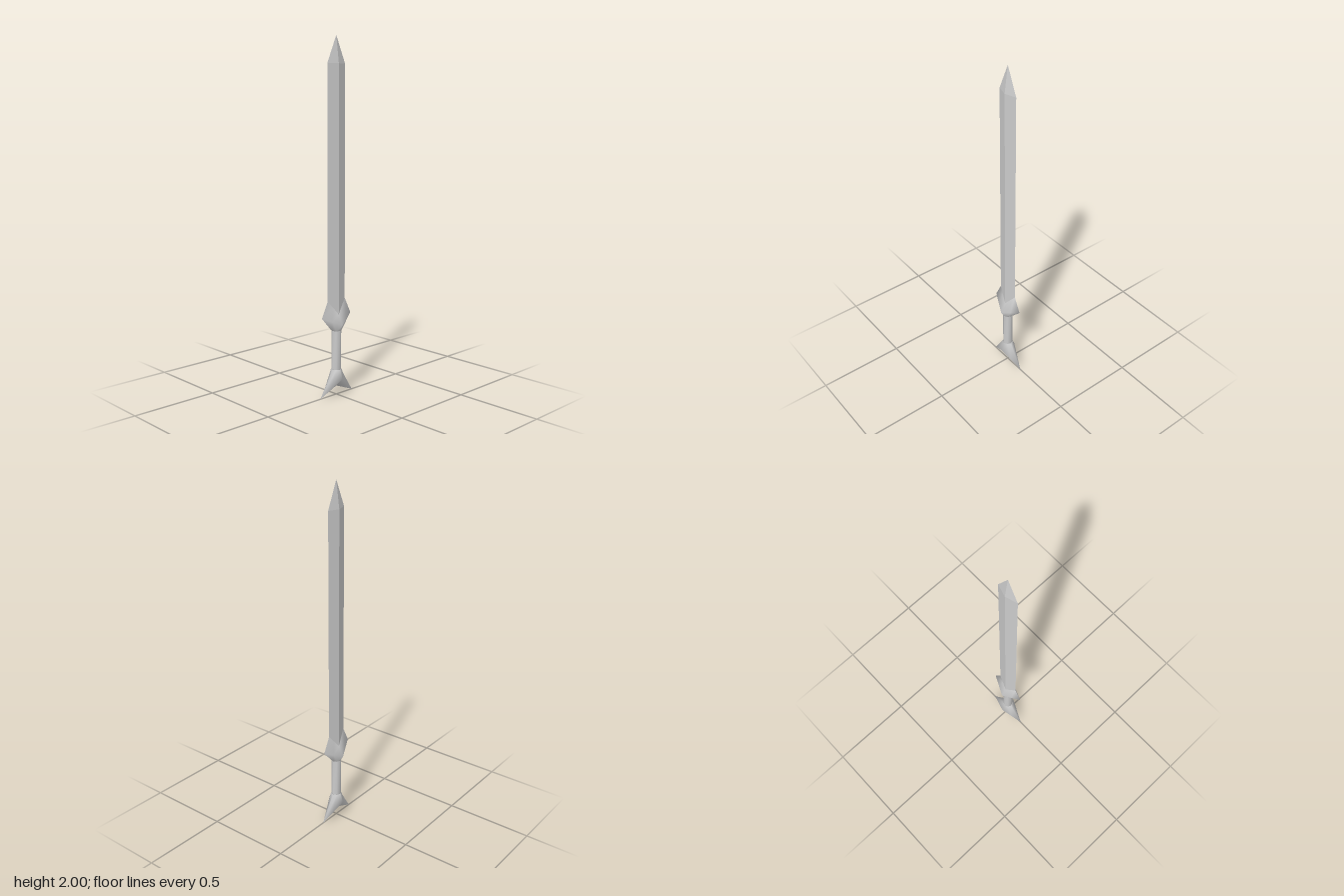
import * as THREE from 'three';
import { mergeVertices } from 'three/addons/utils/BufferGeometryUtils.js';

// Eight-point rings, bottom to top. x/z are the corner reaches, yx/yz the heights
// of those corners; bulge is how far the diagonals lie out (0.5 diamond, 0.707 round).
const DIAMOND = 0.5, ROUND = Math.SQRT1_2;
const ring = (x, yx, z, yz, bulge = DIAMOND) => ({ x, yx, z, yz, bulge });

function loft(rings) {
  const positions = [], index = [], n = 8;
  for (const r of rings) {
    for (let i = 0; i < n; i++) {
      const a = (i / n) * Math.PI * 2;
      const diagonal = i % 2 === 1;
      const cx = diagonal ? Math.sign(Math.cos(a)) * r.bulge : Math.round(Math.cos(a));
      const cz = diagonal ? Math.sign(Math.sin(a)) * r.bulge : Math.round(Math.sin(a));
      const y = diagonal ? (r.yx + r.yz) / 2 : (cx !== 0 ? r.yx : r.yz);
      positions.push(cx * r.x, y, cz * r.z);
    }
  }
  for (let j = 0; j < rings.length - 1; j++) {
    for (let i = 0; i < n; i++) {
      const a = j * n + i, b = j * n + (i + 1) % n;
      const c = a + n, d = b + n;
      index.push(a, c, b, b, c, d);
    }
  }
  let geometry = new THREE.BufferGeometry();
  geometry.setAttribute('position', new THREE.Float32BufferAttribute(positions, 3));
  geometry.setIndex(index);
  geometry = mergeVertices(geometry, 1e-5);
  geometry.computeVertexNormals();
  return geometry;
}

export function createModel() {
  const model = new THREE.Group();
  model.name = 'sword';
  const smooth = new THREE.MeshStandardMaterial({ color: 0xcccccc, side: THREE.DoubleSide });
  const faceted = new THREE.MeshStandardMaterial({ color: 0xcccccc, flatShading: true, side: THREE.DoubleSide });

  const add = (name, material, rings) => {
    const mesh = new THREE.Mesh(loft(rings), material);
    mesh.name = name;
    model.add(mesh);
  };

  // Diamond-section blade, seated in the V of the guard
  add('blade', faceted, [
    ring(0.02, 0.465, 0.066, 0.545),
    ring(0.02, 1.85, 0.066, 1.85),
    ring(0, 2, 0, 2),
  ]);

  // Guard swelling to two side points, then rising into horns along the blade edges
  add('guard', smooth, [
    ring(0.03, 0.375, 0.03, 0.375, ROUND),
    ring(0.05, 0.41, 0.11, 0.46),
    ring(0.02, 0.47, 0.066, 0.55),
  ]);

  // Plain round grip
  add('grip', smooth, [
    ring(0.028, 0.15, 0.028, 0.15, ROUND),
    ring(0.028, 0.375, 0.028, 0.375, ROUND),
  ]);

  // Fishtail pommel with a hollowed underside
  add('pommel', smooth, [
    ring(0, 0.05, 0, 0.05),
    ring(0.05, 0.1, 0.123, 0),
    ring(0.03, 0.15, 0.03, 0.15, ROUND),
  ]);

  return model;
}
